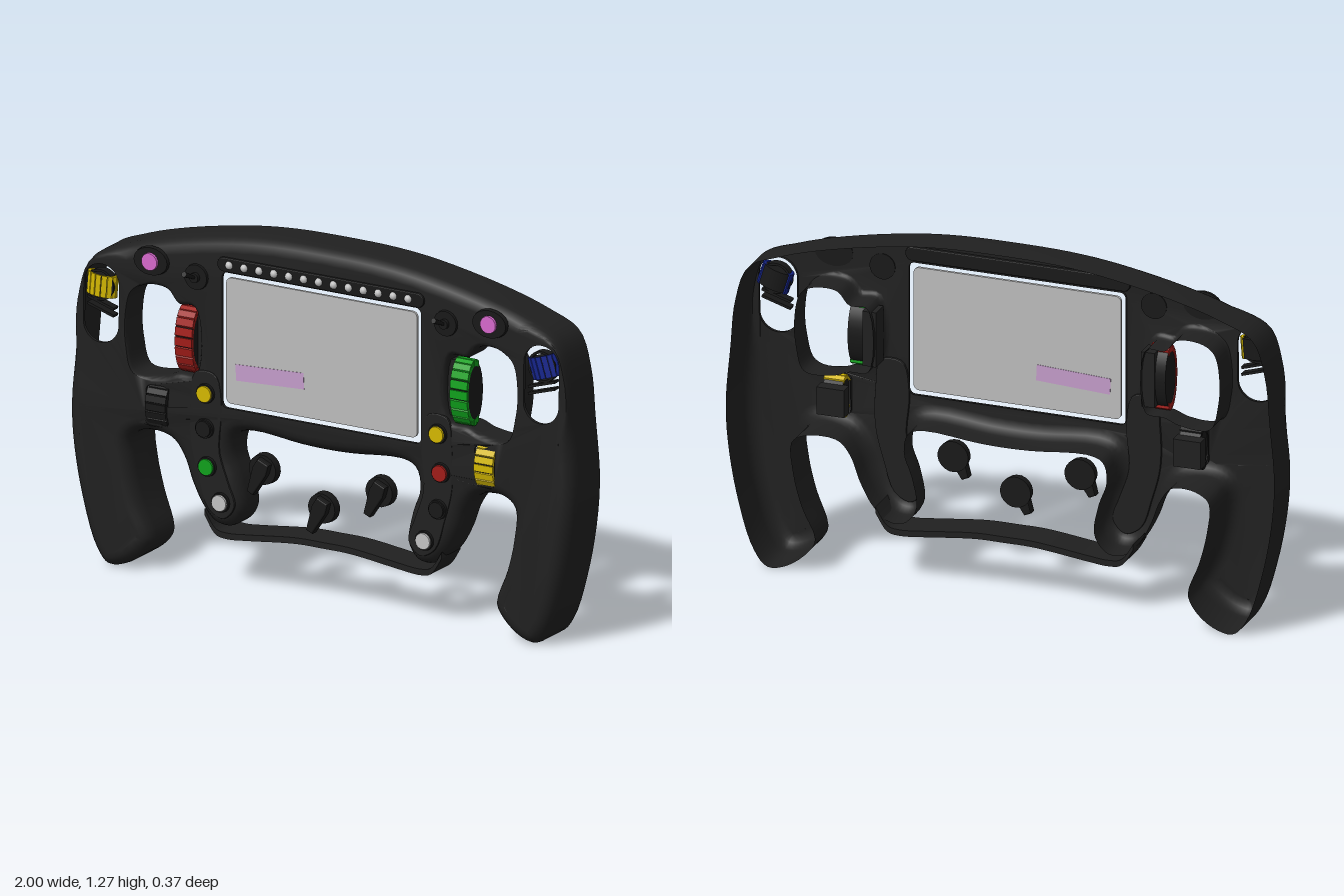
import * as THREE from 'three';
import { toCreasedNormals } from 'three/addons/utils/BufferGeometryUtils.js';

const mat = (name, color, side = THREE.FrontSide) => {
  const m = new THREE.MeshStandardMaterial({ color, side });
  m.name = name;
  return m;
};
const V = (x, y) => new THREE.Vector2(x, y);
const smooth = THREE.MathUtils.smoothstep;

// front surface height: flat in the middle, fuller at the lower grips
const faceZ = (x, y) => 0.06 + 0.026 * smooth(Math.abs(x), 0.55, 0.85) * (1 - smooth(y, 0.4, 1));

// closed smooth loop through a few points
function loop(pts, n) {
  const c = new THREE.CatmullRomCurve3(pts.map(([x, y]) => new THREE.Vector3(x, y, 0)), true, 'centripetal');
  return c.getPoints(n).slice(0, n).map((p) => V(p.x, p.y));
}

// rectangle with rounded corners, as a shape
function roundRect(cx, cy, w, h, r) {
  const s = new THREE.Shape(), a = w / 2 - r, b = h / 2 - r;
  s.absarc(cx + a, cy + b, r, 0, Math.PI / 2);
  s.absarc(cx - a, cy + b, r, Math.PI / 2, Math.PI);
  s.absarc(cx - a, cy - b, r, Math.PI, Math.PI * 1.5);
  s.absarc(cx + a, cy - b, r, Math.PI * 1.5, Math.PI * 2);
  s.closePath();
  return s;
}
const rectLoop = (...a) => {
  const p = roundRect(...a).getPoints(6);
  return p.filter((q, i) => q.distanceTo(p[(i + 1) % p.length]) > 1e-4);
};

// open-backed shell: a front cap, with a rounded edge and a wall along each loop
function shellGeometry(loops) {
  const pos = [], caps = [];
  const tri = (...v) => v.forEach((p) => pos.push(p.x, p.y, p.z));
  loops.forEach(({ pts, bevel, drop, back }, k) => {
    if (THREE.ShapeUtils.isClockWise(pts) !== k > 0) pts.reverse();
    const n = pts.length, rings = [pts.map((p) => new THREE.Vector3(p.x, p.y, back(p.x, p.y)))];
    const steps = drop > 0.01 ? 5 : 1;
    for (let s = 0; s <= steps; s++) {
      const a = (s / steps) * Math.PI / 2;
      rings.push(pts.map((p, i) => {
        const t = pts[(i + 1) % n].clone().sub(pts[(i + n - 1) % n]).normalize();
        const d = bevel(p.x, p.y) * (1 - Math.cos(a));
        return new THREE.Vector3(p.x - t.y * d, p.y + t.x * d, faceZ(p.x, p.y) - drop * (1 - Math.sin(a)));
      }));
    }
    for (let r = 0; r + 1 < rings.length; r++) for (let i = 0; i < n; i++) {
      const j = (i + 1) % n, A = rings[r], B = rings[r + 1];
      tri(A[i], A[j], B[j]);
      tri(A[i], B[j], B[i]);
    }
    caps.push(rings[rings.length - 1]);
  });
  const all = caps.flat();
  THREE.ShapeUtils.triangulateShape(caps[0].map((p) => V(p.x, p.y)), caps.slice(1).map((c) => c.map((p) => V(p.x, p.y))))
    .forEach((f) => tri(...f.map((i) => all[i])));
  const g = new THREE.BufferGeometry();
  g.setAttribute('position', new THREE.Float32BufferAttribute(pos, 3));
  return toCreasedNormals(g, 0.6);
}

export function createModel() {
  const body = mat('body charcoal', 0x202020, THREE.DoubleSide);
  const black = mat('control black', 0x181818);
  const screenGrey = mat('screen grey', 0xbcbcbc);
  const mauve = mat('screen mauve', 0xc49cca);
  const yellow = mat('yellow', 0xd4b800), red = mat('red', 0xa01c18), green = mat('green', 0x0fa01c);
  const pink = mat('pink', 0xd668cc), blue = mat('blue', 0x16258c), white = mat('light grey', 0xc4c4c4);

  const model = new THREE.Group();
  const wheel = new THREE.Group();
  wheel.name = 'steeringWheel';
  wheel.rotation.y = 0.075;
  model.add(wheel);
  const add = (name, geo, m, x = 0, y = 0, z = 0, parent = wheel) => {
    const o = new THREE.Mesh(geo, m);
    o.name = name;
    o.position.set(x, y, z);
    parent.add(o);
    return o;
  };
  const slab = (shape, depth, bevel = 0) => new THREE.ExtrudeGeometry(shape, {
    depth, bevelEnabled: bevel > 0, bevelSize: bevel, bevelThickness: bevel, bevelOffset: -bevel, bevelSegments: 2, curveSegments: 10,
  });

  // main shell outline, one half of the wheel, mirrored for the other half
  const half = [[-0.2, 1.262], [-0.37, 1.245], [-0.63, 1.195], [-0.8, 1.145], [-0.92, 1.088], [-0.966, 0.96], [-0.983, 0.79],
    [-1, 0.58], [-0.99, 0.42], [-0.955, 0.23], [-0.9, 0.06], [-0.85, 0.001], [-0.78, 0.013], [-0.7, 0.075], [-0.68, 0.12],
    [-0.725, 0.24], [-0.755, 0.36], [-0.76, 0.47], [-0.71, 0.5], [-0.61, 0.485], [-0.565, 0.43], [-0.53, 0.34],
    [-0.485, 0.26], [-0.43, 0.21], [-0.37, 0.21], [-0.325, 0.27], [-0.34, 0.38], [-0.37, 0.47], [-0.355, 0.54], [-0.3, 0.56], [-0.1, 0.545]];
  const outline = [[0, 1.266], ...half, [0, 0.542], ...half.map(([x, y]) => [-x, y]).reverse()];
  const thumb = [[-0.755, 0.99], [-0.71, 1.02], [-0.62, 1.02], [-0.575, 0.975], [-0.508, 0.97], [-0.505, 0.74],
    [-0.575, 0.73], [-0.63, 0.71], [-0.74, 0.71], [-0.77, 0.8], [-0.775, 0.9]];
  const none = () => 0, thin = (x, y) => faceZ(x, y) - 0.012;
  const loops = [
    {
      pts: loop(outline, 260), drop: 0.055,
      bevel: (x, y) => 0.05 - 0.046 * (Math.abs(x) > 0.8 ? Math.exp(-(((y - 0.95) / 0.2) ** 4)) : 0),
      back: (x, y) => (y > 0.75 ? -0.115 : -0.065 - 0.05 * smooth(Math.abs(x), 0.55, 0.75)),
    },
    { pts: rectLoop(0, 0.882, 0.79, 0.485, 0.02), drop: 0, bevel: none, back: thin },
  ];
  for (const s of [-1, 1]) {
    loops.push({
      pts: loop(thumb.map(([x, y]) => [-s * x, y]), 70), drop: 0.03,
      bevel: (x) => 0.004 + 0.016 * (1 - smooth(Math.abs(x), 0.66, 0.74)), back: () => -0.05,
    });
    loops.push({ pts: rectLoop(s * 0.873, 0.933, 0.14, 0.278, 0.069), drop: 0, bevel: none, back: thin });
    loops.push({ pts: rectLoop(s * 0.65, 0.602, 0.084, 0.146, 0.02), drop: 0, bevel: none, back: thin });
  }
  add('rimAndGrips', shellGeometry(loops), body);

  // thin lower bar joining the two lugs
  const arc = [[-0.47, 0.25], [-0.43, 0.19], [-0.38, 0.178], [-0.3, 0.185], [-0.12, 0.206], [0, 0.208]];
  const barLine = new THREE.SplineCurve([...arc, ...arc.slice(0, -1).map(([x, y]) => [-x, y]).reverse()].map(([x, y]) => V(x, y))).getPoints(48);
  const barShape = new THREE.Shape([...barLine.map((p) => V(p.x, p.y - 0.011)), ...barLine.slice().reverse().map((p) => V(p.x, p.y + 0.011))]);
  add('lowerBar', slab(barShape, 0.125), body, 0, 0, -0.075);

  // display with a tinted patch
  add('screen', slab(roundRect(0, 0.883, 0.757, 0.45, 0.02), 0.01), screenGrey, 0, 0, 0.049);
  add('screenPatch', new THREE.BoxGeometry(0.27, 0.058, 0.013), mauve, -0.205, 0.78, 0.054).rotation.z = 0.05;

  // row of indicator lamps
  add('lampStrip', slab(roundRect(0, 1.154, 0.82, 0.052, 0.025), 0.01, 0.004), black, 0, 0, 0.054);
  for (let i = 0; i < 13; i++) add('lamp', new THREE.SphereGeometry(0.015, 10, 6), white, -0.362 + i * 0.0592, 1.154, 0.066);

  // round button on a low collar
  const disc = (r, h) => new THREE.CylinderGeometry(r * 0.95, r, h, 20).rotateX(Math.PI / 2);
  function button(x, y, m) {
    add('buttonCollar', disc(0.036, 0.014), black, x, y, 0.066);
    add('button', disc(0.03, 0.014), m, x, y, 0.073);
  }
  [[-0.457, 0.68, yellow], [-0.46, 0.555, black], [-0.45, 0.42, green], [-0.397, 0.3, white],
    [0.465, 0.69, yellow], [0.477, 0.553, red], [0.465, 0.42, black], [0.412, 0.3, white]].forEach((b) => button(...b));

  // roller flattened front to back with coloured ribs on its front, axis along x before turning
  function roller(name, m, x, y, z, r, w, ribs, flat) {
    const g = new THREE.Group();
    g.name = name;
    g.position.set(x, y, z);
    g.scale.z = flat;
    wheel.add(g);
    add('rollerCore', new THREE.CylinderGeometry(r * 0.93, r * 0.93, w * 0.95, 24).rotateZ(Math.PI / 2), black, 0, 0, 0, g);
    const size = (Math.PI * 2 * r / ribs) * 0.82;
    for (let i = 0; i < ribs; i++) {
      const a = (i / ribs) * Math.PI * 2;
      if (Math.cos(a) < -0.4) continue;
      const rib = add('rollerRib', new THREE.BoxGeometry(w, size, r * 0.2), m, 0, Math.sin(a) * r * 0.9, Math.cos(a) * r * 0.9, g);
      rib.rotation.x = -a;
    }
    return g;
  }
  roller('redWheel', red, -0.538, 0.852, 0.022, 0.118, 0.068, 20, 0.48);
  roller('greenWheel', green, 0.56, 0.85, 0.032, 0.118, 0.068, 20, 0.48);
  roller('darkRoller', black, -0.645, 0.602, 0.04, 0.077, 0.08, 16, 0.6);
  roller('yellowRoller', yellow, 0.657, 0.602, 0.04, 0.077, 0.074, 16, 0.6);
  roller('yellowThumbRoller', yellow, -0.877, 0.998, 0.046, 0.058, 0.078, 16, 0.55).rotation.z = Math.PI / 2 - 0.08;
  roller('blueThumbRoller', blue, 0.88, 0.998, 0.046, 0.058, 0.078, 16, 0.55).rotation.z = Math.PI / 2 + 0.3;

  for (const s of [-1, 1]) {
    // dark housings behind the rollers
    add('wheelHousing', new THREE.BoxGeometry(0.05, 0.2, 0.07), body, s * 0.508, 0.855, 0);
    add('rollerHousing', new THREE.BoxGeometry(0.1, 0.1, 0.05), body, s * 0.65, 0.602, -0.01);

    // raised strip under the button column
    const strip = [[-0.5, 0.75], [-0.42, 0.75], [-0.395, 0.64], [-0.405, 0.48], [-0.37, 0.37], [-0.345, 0.29], [-0.39, 0.24],
      [-0.45, 0.27], [-0.49, 0.38], [-0.52, 0.5], [-0.52, 0.64]];
    add('buttonStrip', slab(new THREE.Shape(loop(strip.map(([x, y]) => [-s * x, y]), 50)), 0.004, 0.004), body, 0, 0, 0.055);

    // upper button on an oval pad
    add('ovalPad', disc(0.07, 0.016), black, s * 0.672, 1.118, 0.064).scale.y = 0.74;
    add('upperButton', disc(0.032, 0.02), pink, s * 0.672, 1.118, 0.071);

    // toggle switch
    add('toggleBase', disc(0.047, 0.014), black, s * 0.495, 1.09, 0.062);
    add('toggleNut', disc(0.018, 0.02), black, s * 0.495, 1.09, 0.072);
    const rod = add('toggleLever', new THREE.CylinderGeometry(0.01, 0.005, 0.08, 10), black, s * 0.495, 1.105, 0.108);
    rod.rotation.x = 1.15;

    // frame and slats in the thumb slot
    const ring = roundRect(0, 0, 0.11, 0.11, 0.053);
    ring.holes.push(new THREE.Path(roundRect(0, 0, 0.094, 0.094, 0.045).getPoints(8)));
    add('rollerFrame', slab(ring, 0.03), black, s * 0.877, 0.998, 0.035);
    for (const y of [0.935, 0.91]) add('slat', new THREE.BoxGeometry(0.11, 0.009, 0.03), black, s * 0.875, y, 0.05).rotation.z = s * 0.3;
  }

  // rotary knobs in the lower opening
  for (const [x, y] of [[-0.235, 0.442], [0, 0.343], [0.228, 0.44]]) {
    const knob = new THREE.Group();
    knob.name = 'rotaryKnob';
    knob.position.set(x, y, 0.045);
    knob.rotation.z = -0.42;
    wheel.add(knob);
    add('knobBase', disc(0.056, 0.03), black, 0, 0, 0, knob);
    const p = new THREE.Shape([V(-0.024, 0.04), V(-0.03, 0), V(-0.014, -0.092), V(0.014, -0.092), V(0.03, 0), V(0.024, 0.04)]);
    add('knobPointer', slab(p, 0.024, 0.006), black, 0, 0, 0.008, knob);
  }
  return model;
}
